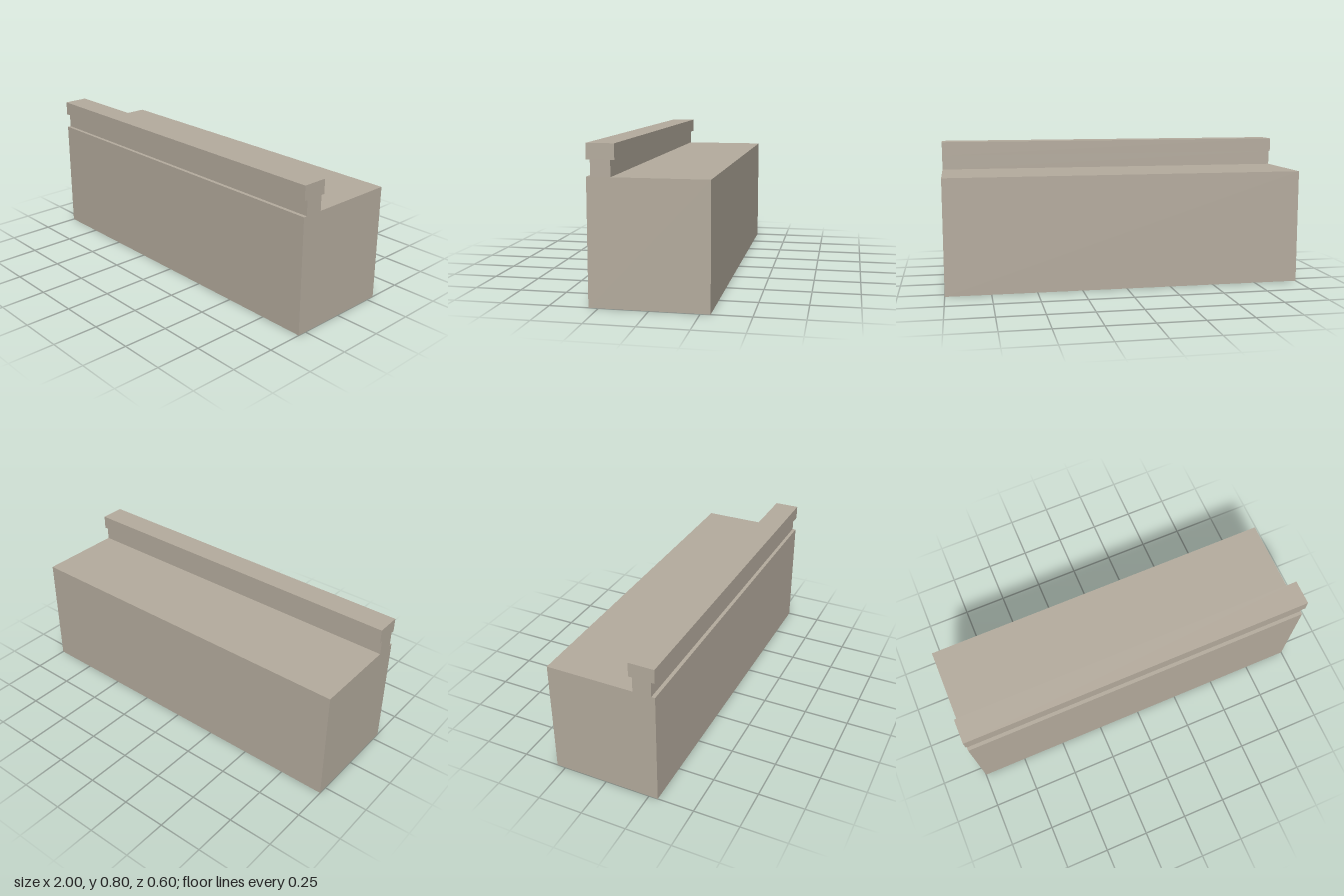
import * as THREE from 'three';

export function createModel() {
  const group = new THREE.Group();
  group.name = 'parapetWall';

  const stone = new THREE.MeshStandardMaterial({ color: 0xb5ac9e });
  stone.name = 'warm grey stone';

  // Full-length course, given by its height range and depth range
  const addCourse = (name, y0, y1, z0, z1) => {
    const mesh = new THREE.Mesh(new THREE.BoxGeometry(2, y1 - y0, z1 - z0), stone);
    mesh.name = name;
    mesh.position.set(0, (y0 + y1) / 2, (z0 + z1) / 2);
    group.add(mesh);
  };

  addCourse('wallBody', 0, 0.64, -0.3, 0.3);
  // Narrow parapet along the front edge, with an overhanging coping
  addCourse('parapet', 0.64, 0.722, 0.18, 0.28);
  addCourse('coping', 0.722, 0.8, 0.16, 0.3);

  return group;
}
